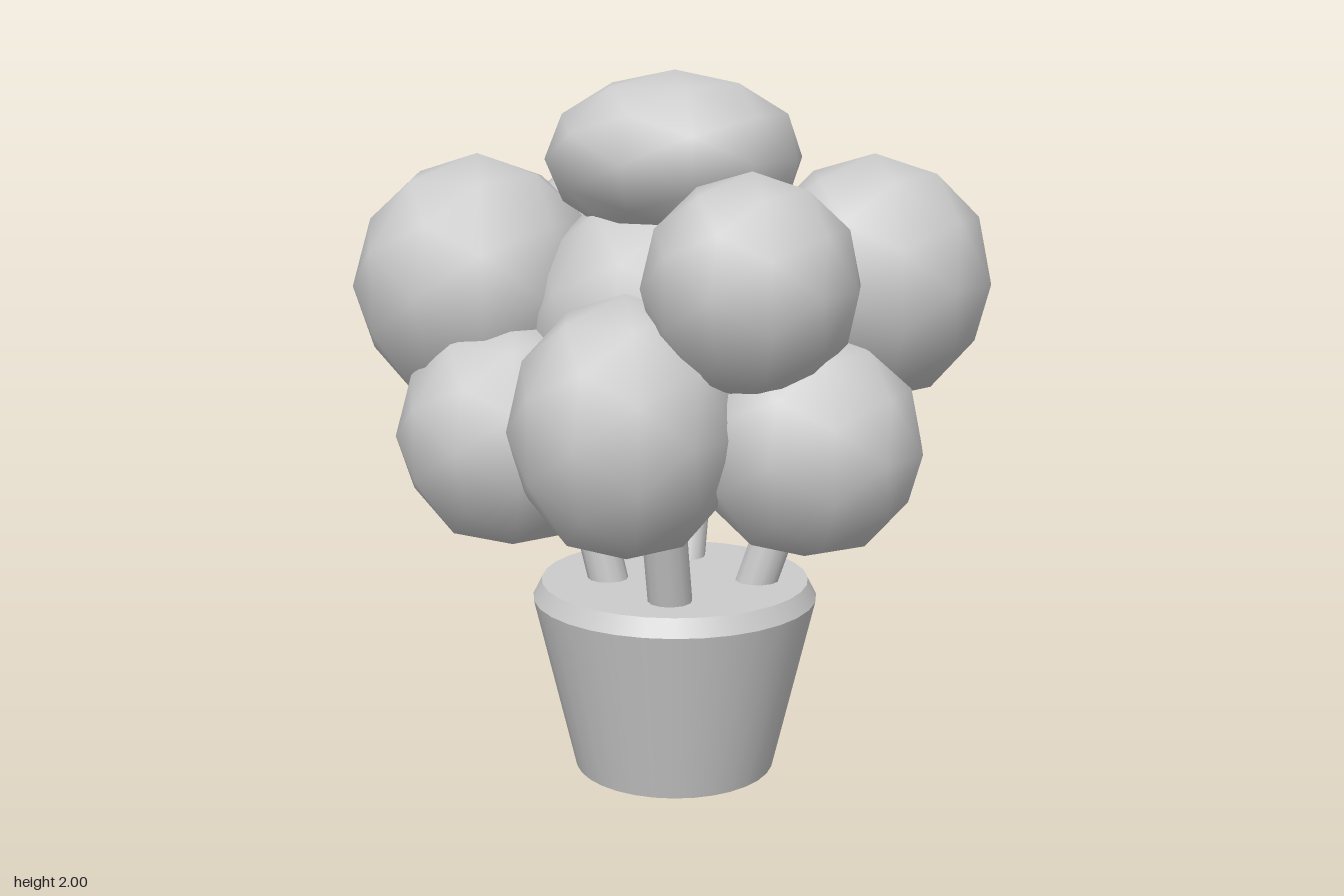
import * as THREE from 'three';

const material = new THREE.MeshStandardMaterial({ color: 0xcccccc });

// Low-poly, smooth-shaded puff: centre and radii per axis
function puff(name, [x, y, z], [rx, ry, rz]) {
  const mesh = new THREE.Mesh(new THREE.IcosahedronGeometry(1, 1), material);
  mesh.name = name;
  mesh.position.set(x, y, z);
  mesh.scale.set(rx, ry, rz);
  return mesh;
}

// Straight round stem between two points
function stem(from, to, radius) {
  const a = new THREE.Vector3(...from), b = new THREE.Vector3(...to);
  const dir = b.clone().sub(a);
  const mesh = new THREE.Mesh(new THREE.CylinderGeometry(radius, radius, dir.length(), 12), material);
  mesh.name = 'stem';
  mesh.position.copy(a).add(b).multiplyScalar(0.5);
  mesh.quaternion.setFromUnitVectors(new THREE.Vector3(0, 1, 0), dir.normalize());
  return mesh;
}

export function createModel() {
  const model = new THREE.Group();
  model.name = 'pottedBush';

  // Tapered pot with a bevelled, filled top
  const pot = new THREE.Group();
  pot.name = 'pot';
  pot.position.x = 0.05;
  const body = new THREE.Mesh(new THREE.CylinderGeometry(0.41, 0.29, 0.51, 32), material);
  body.name = 'potBody';
  body.position.y = 0.255;
  const rim = new THREE.Mesh(new THREE.CylinderGeometry(0.385, 0.41, 0.05, 32), material);
  rim.name = 'potRim';
  rim.position.y = 0.535;
  pot.add(body, rim);
  model.add(pot);

  // Four leaning stems
  const stems = new THREE.Group();
  stems.name = 'stems';
  stems.add(
    stem([-0.11, 0.5, 0.08], [-0.25, 1.05, 0.09], 0.057),
    stem([0.0, 0.5, -0.2], [-0.03, 1.05, -0.4], 0.055),
    stem([0.125, 0.5, 0.2], [0.14, 1.05, 0.34], 0.062),
    stem([0.26, 0.5, -0.06], [0.46, 1.15, -0.15], 0.06)
  );
  model.add(stems);

  // Foliage clusters
  const foliage = new THREE.Group();
  foliage.name = 'foliage';
  const clusters = [
    ['core', [0.02, 1.28, 0], [0.4, 0.42, 0.38]],
    ['top', [0.035, 1.76, -0.03], [0.36, 0.24, 0.37]],
    ['upperRight', [-0.54, 1.39, 0.06], [0.36, 0.375, 0.37]],
    ['upperLeft', [0.56, 1.43, -0.2], [0.335, 0.345, 0.33]],
    ['upperFront', [0.38, 1.455, 0.28], [0.29, 0.295, 0.29]],
    ['upperBack', [-0.28, 1.43, -0.325], [0.325, 0.33, 0.325]],
    ['lowerFront', [0.06, 1.07, 0.36], [0.315, 0.36, 0.325]],
    ['lowerRight', [-0.35, 1.0, 0.24], [0.32, 0.325, 0.32]],
    ['lowerLeft', [0.49, 1.02, 0.14], [0.32, 0.31, 0.3]],
    ['lowerBackLeft', [0.27, 0.98, -0.24], [0.27, 0.295, 0.285]],
    ['lowerBack', [-0.13, 0.945, -0.38], [0.285, 0.305, 0.31]]
  ];
  for (const [name, centre, radii] of clusters) foliage.add(puff(name + 'Foliage', centre, radii));
  model.add(foliage);

  return model;
}
